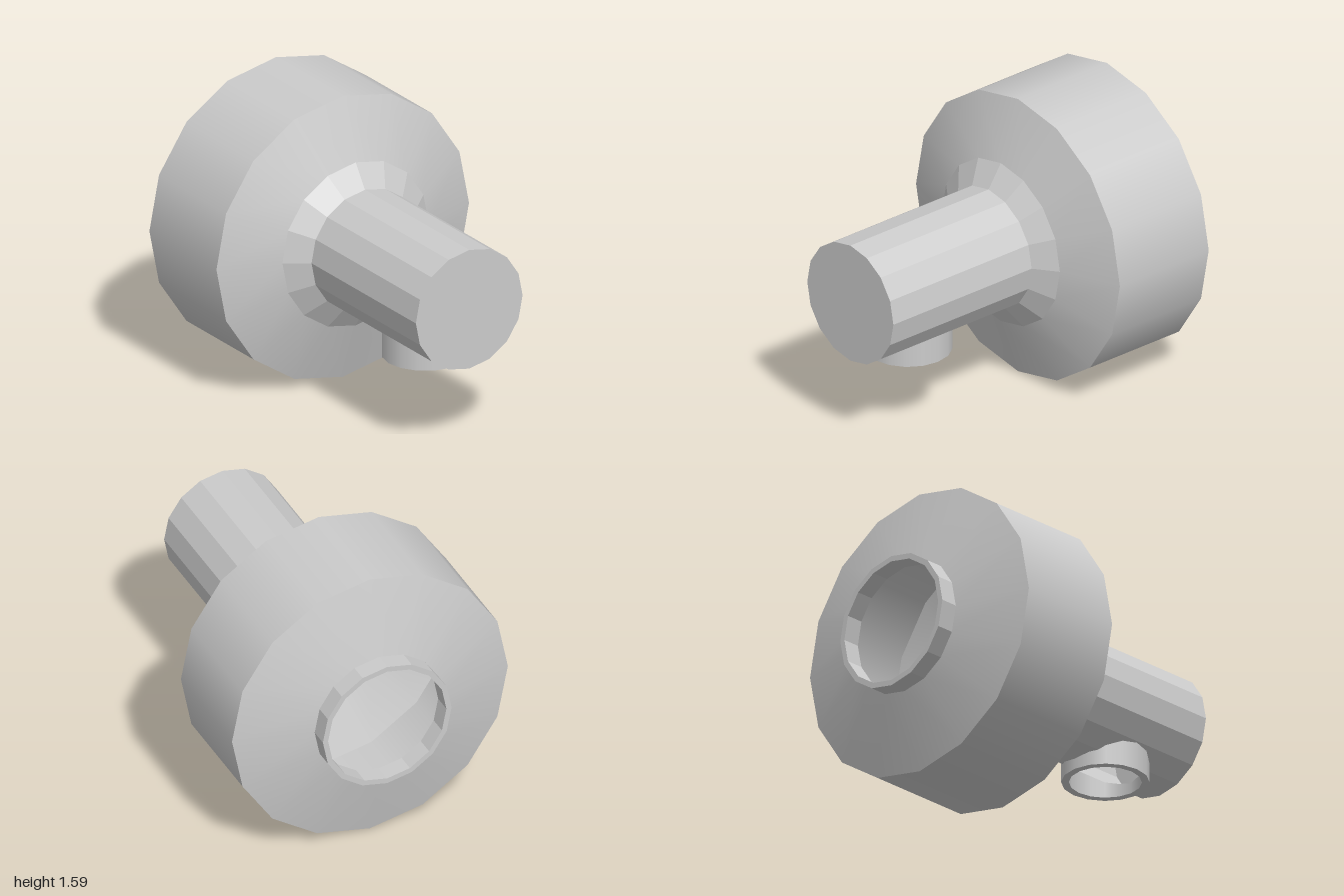
import * as THREE from 'three';

const SIDES = 16;
const CY = 0.793;          // height of the main axis
const NECK_R = 0.335;
const PORT_Z = 0.595;

const smooth = new THREE.MeshStandardMaterial({ color: 0xcccccc, side: THREE.DoubleSide });
const flat = new THREE.MeshStandardMaterial({ color: 0xcccccc, side: THREE.DoubleSide, flatShading: true });

// surface turned around the main axis; points are [radius, z]
function turned(name, points, material) {
  const geo = new THREE.LatheGeometry(points.map(p => new THREE.Vector2(p[0], p[1])), SIDES);
  geo.rotateX(Math.PI / 2);
  const mesh = new THREE.Mesh(geo, material);
  mesh.name = name;
  mesh.position.y = CY;
  return mesh;
}

// depth of the faceted neck below its axis at a given x
function neckDepth(x) {
  const step = (2 * Math.PI) / SIDES;
  const ax = Math.abs(x);
  let k = 0;
  while (k < 3 && NECK_R * Math.sin((k + 1) * step) < ax) k++;
  const x0 = NECK_R * Math.sin(k * step), x1 = NECK_R * Math.sin((k + 1) * step);
  const y0 = NECK_R * Math.cos(k * step), y1 = NECK_R * Math.cos((k + 1) * step);
  return y0 + ((y1 - y0) * (ax - x0)) / (x1 - x0);
}

// faceted tube with a round opening on its underside
function neckGeometry(z0, z1, holeR) {
  const pos = [];
  const quad = (a, b, za0, zb0, za1, zb1) => {
    const p = [[...a, za0], [...b, zb0], [...b, zb1], [...a, za1]];
    for (const i of [0, 1, 2, 0, 2, 3]) pos.push(...p[i]);
  };
  const half = x => Math.sqrt(Math.max(0, holeR * holeR - x * x));
  const corner = i => {
    const t = (i / SIDES) * 2 * Math.PI;
    return [NECK_R * Math.sin(t), -NECK_R * Math.cos(t)];
  };
  const cuts = 8;
  for (let i = 0; i < SIDES; i++) {
    const A = corner(i), B = corner(i + 1);
    const at = t => [A[0] + (B[0] - A[0]) * t, A[1] + (B[1] - A[1]) * t];
    if (A[1] + B[1] > -0.2) {
      quad(A, B, z0, z0, z1, z1);
      continue;
    }
    for (let j = 0; j < cuts; j++) {
      const a = at(j / cuts), b = at((j + 1) / cuts);
      const ha = half(a[0]), hb = half(b[0]);
      quad(a, b, z0, z0, PORT_Z - ha, PORT_Z - hb);
      quad(a, b, PORT_Z + ha, PORT_Z + hb, z1, z1);
    }
  }
  const geo = new THREE.BufferGeometry();
  geo.setAttribute('position', new THREE.Float32BufferAttribute(pos, 3));
  geo.computeVertexNormals();
  return geo;
}

// side port wall, its upper edge trimmed to the neck
function portWall(name, radius, inward) {
  const y0 = 0.4 - CY;
  const pts = [new THREE.Vector2(radius, y0), new THREE.Vector2(radius, y0 + 0.1)];
  if (inward) pts.reverse();
  const geo = new THREE.LatheGeometry(pts, SIDES);
  const p = geo.attributes.position;
  for (let i = 0; i < p.count; i++) {
    if (p.getY(i) > y0 + 0.05) p.setY(i, -neckDepth(p.getX(i)));
  }
  const mesh = new THREE.Mesh(geo, smooth);
  mesh.name = name;
  mesh.position.set(0, CY, PORT_Z);
  return mesh;
}

export function createModel() {
  const group = new THREE.Group();
  group.name = 'hollowHousing';

  // main hollow body, one band per crease
  group.add(
    turned('bodyBackCone', [[0.34, -0.9], [0.37, -0.9], [0.793, -0.79]], smooth),
    turned('bodyBarrel', [[0.793, -0.79], [0.793, -0.17]], smooth),
    turned('bodyFrontCone', [[0.793, -0.17], [0.46, -0.05]], smooth),
    turned('neckFlare', [[0.46, -0.05], [NECK_R, 0.035]], flat),
    turned('backCollar', [[0.37, -0.9], [0.37, -1], [0.34, -1], [0.34, -0.9]].reverse(), flat)
  );
  // the collar runs inner wall, rim, outer wall
  // neck with closed front
  const neck = new THREE.Mesh(neckGeometry(0.035, 1, 0.2), flat);
  neck.name = 'neck';
  neck.position.y = CY;
  group.add(neck, turned('neckFrontCap', [[NECK_R, 1], [0, 1]], flat));

  // open port under the neck
  const rim = new THREE.Mesh(new THREE.RingGeometry(0.19, 0.23, SIDES), smooth);
  rim.name = 'portRim';
  rim.rotation.x = Math.PI / 2;
  rim.position.set(0, 0.4, PORT_Z);
  group.add(portWall('portOuterWall', 0.23, false), portWall('portInnerWall', 0.19, true), rim);

  return group;
}
